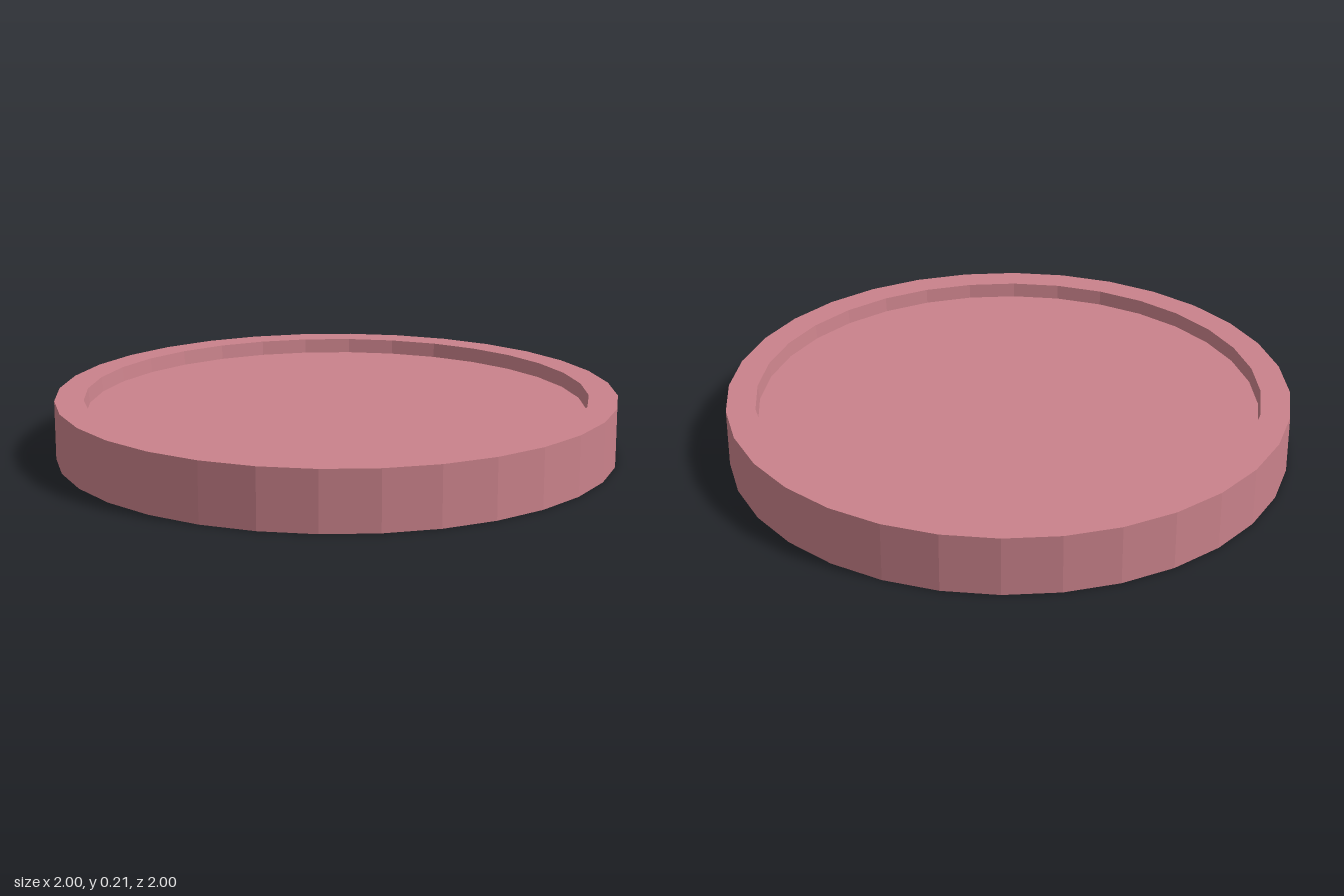
import * as THREE from 'three';

const SIDES = 32;

export function createModel() {
  const group = new THREE.Group();
  group.name = 'shallowDish';
  const material = new THREE.MeshStandardMaterial({ color: 0xca828b, flatShading: true });

  // Revolves a closed [radius, height] profile into a faceted part
  const addTurned = (name, profile) => {
    const points = profile.map(([r, y]) => new THREE.Vector2(r, y));
    const mesh = new THREE.Mesh(new THREE.LatheGeometry(points, SIDES), material);
    mesh.name = name;
    group.add(mesh);
  };

  // Rim ring with a slightly tapered bore, and the floor plate recessed on both faces
  const height = 0.21, floorTop = 0.157, floorBottom = 0.05;
  const bore = (y) => 0.875 + 0.022 * (y / height);

  addTurned('rim', [
    [bore(floorBottom), floorBottom], [bore(0), 0], [1, 0],
    [1, height], [bore(height), height], [bore(floorTop), floorTop],
  ]);
  addTurned('floorUnderside', [[0, floorBottom], [bore(floorBottom), floorBottom]]);
  addTurned('floorTop', [[bore(floorTop), floorTop], [0, floorTop]]);

  return group;
}
